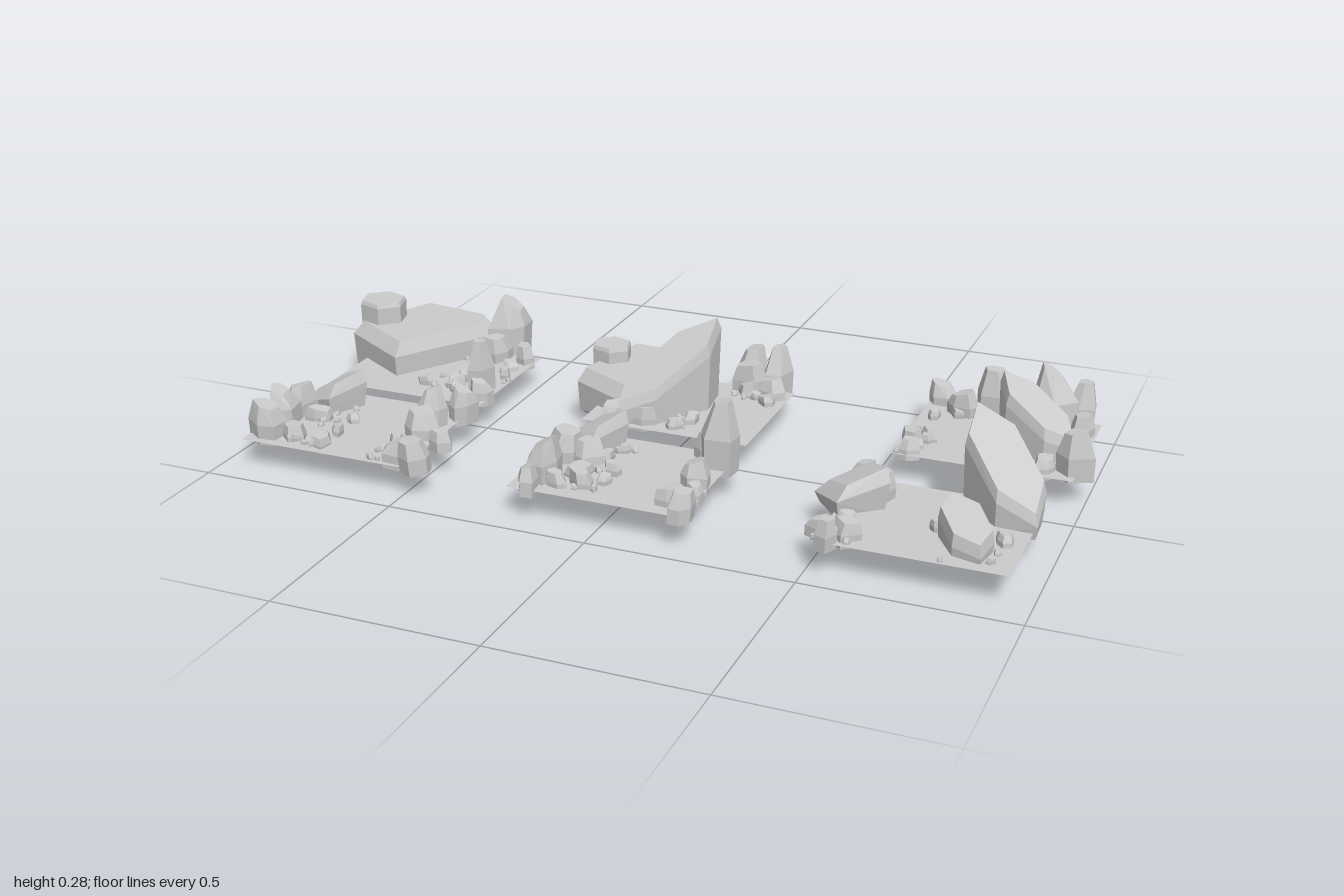
import * as THREE from 'three';
import { ConvexGeometry } from 'three/addons/geometries/ConvexGeometry.js';

const GROUND = 0.073;
const stone = new THREE.MeshStandardMaterial({ color: 0xcccccc, flatShading: true });
const groundMat = new THREE.MeshStandardMaterial({ color: 0xcccccc, side: THREE.DoubleSide });

let seed = 7;
const rand = (a, b) => {
  seed = (seed * 16807) % 2147483647;
  return a + (b - a) * (seed / 2147483647);
};

// Convex stone stacked from copies of an outline; each ring is [height(point), scale, shiftX, shiftZ]
function stack(name, outline, rings) {
  const centre = new THREE.Vector2();
  outline.forEach(p => centre.addScaledVector(p, 1 / outline.length));
  const corners = rings.flatMap(([height, scale, dx = 0, dz = 0]) => outline.map(p => {
    const q = p.clone().sub(centre).multiplyScalar(scale).add(centre);
    return new THREE.Vector3(q.x + dx, height(p), q.y + dz);
  }));
  const mesh = new THREE.Mesh(new ConvexGeometry(corners), stone);
  mesh.name = name;
  return mesh;
}

// Elliptic polygon on the ground, long axis turned by yaw
function polygon(x, z, rx, rz, yaw, sides) {
  const centre = new THREE.Vector2(x, z);
  return Array.from({ length: sides }, (_, i) => {
    const a = (i / sides) * Math.PI * 2;
    return new THREE.Vector2(x + rx * Math.cos(a), z + rz * Math.sin(a)).rotateAround(centre, yaw);
  });
}

// Chipped rock: uneven outline and a crown that is tilted and off centre
function rock(name, x, z, r, top = GROUND + r * 1.3) {
  const bottom = r > 0.024 ? 0.057 : GROUND - 0.003;
  const h = top - bottom;
  const crown = THREE.MathUtils.clamp(1.05 - 0.17 * h / r, 0.36, 0.75);
  const tilt = rand(-0.14, 0.14) * h;
  const dx = rand(-0.25, 0.25) * r, dz = rand(-0.25, 0.25) * r;
  const outline = polygon(x, z, r * 1.08, r * rand(0.75, 0.95), rand(0, 3), rand(0, 1) > 0.5 ? 6 : 5);
  outline.forEach(p => p.add(new THREE.Vector2(rand(-0.2, 0.2) * r, rand(-0.2, 0.2) * r)));
  return stack(name, outline, [
    [() => bottom, 0.97],
    [() => bottom + h * 0.5, 1, dx * 0.3, dz * 0.3],
    [p => top - Math.abs(tilt) + tilt * (p.x - x) / r, crown, dx, dz],
  ]);
}

// Four-sided boulder tipped up towards +x
function boulder(x, z, r, yaw) {
  const roof = p => 0.13 + 0.03 * (p.x - x) / r;
  return stack('boulder', polygon(x, z, r, r * 0.95, yaw, 4), [
    [() => 0.057, 0.85],
    [p => roof(p) - 0.02, 1],
    [p => roof(p) + 0.012, 0.75, r * 0.12, -r * 0.1],
  ]);
}

// Leaning crystal: steep at one end, its roof falling to the other along yaw
function crystal(x, z, rx, rz, yaw, high, low) {
  const roof = p => {
    const along = ((p.x - x) * Math.cos(yaw) + (p.y - z) * Math.sin(yaw)) / rx;
    return THREE.MathUtils.lerp(high, low, (along + 1) / 2);
  };
  return stack('crystal', polygon(x, z, rx, rz, yaw, 6), [
    [() => 0.058, 0.95],
    [p => roof(p) - 0.03, 1],
    [roof, 0.92],
  ]);
}

// Broad outcrop with an underside rising towards +x, and a stubby column on top
function outcrop(outline, top, bottom, [x, z, r, columnTop]) {
  const group = new THREE.Group();
  group.name = 'outcrop';
  const underside = p => bottom + Math.max(0, p.x - x) * 0.16;
  group.add(
    stack('slab', outline.map(p => new THREE.Vector2(...p)), [
      [underside, 0.75], [p => underside(p) + 0.025, 0.97], [() => top - 0.035, 1], [() => top, 0.86],
    ]),
    stack('column', polygon(x, z, r, r * 0.93, 0.3, 6), [
      [() => bottom + 0.015, 0.95], [() => columnTop - 0.01, 1], [() => columnTop, 0.93],
    ]));
  return group;
}

// Ground sheet with rocks [x, z, radius, top] and pebble strips [x0, x1, z0, z1, count]
function section(name, x, z, rocks, strips) {
  const group = new THREE.Group();
  group.name = name;
  const ground = new THREE.Mesh(new THREE.PlaneGeometry(0.435, 0.36), groundMat);
  ground.name = 'ground';
  ground.rotation.x = -Math.PI / 2;
  ground.position.set(x, GROUND, z);
  group.add(ground, ...rocks.map(r => rock('rock', ...r)));
  for (const [x0, x1, z0, z1, count] of strips)
    for (let i = 0; i < count; i++)
      group.add(rock('pebble', rand(x0, x1), rand(z0, z1), i % 4 ? rand(0.006, 0.012) : rand(0.016, 0.023)));
  return group;
}

export function createModel() {
  const model = new THREE.Group();
  model.name = 'rockyPathSections';

  // back row
  const backRight = section('backRightSection', -0.722, -0.147, [
    [-0.61, -0.345, 0.055, 0.24], [-0.665, -0.335, 0.034, 0.14], [-0.61, -0.28, 0.036, 0.14],
    [-0.535, -0.29, 0.032, 0.12], [-0.55, -0.075, 0.042, 0.21], [-0.52, -0.02, 0.03, 0.13], [-0.62, -0.06, 0.028],
  ], [[-0.7, -0.6, -0.26, -0.03, 15], [-0.56, -0.51, -0.25, -0.1, 6]]);
  backRight.add(outcrop(
    [[-0.885, -0.41], [-0.68, -0.38], [-0.63, -0.33], [-0.8, -0.065], [-0.995, -0.185]],
    0.16, 0, [-0.93, -0.24, 0.065, 0.215]));

  const backMiddle = section('backMiddleSection', -0.012, -0.167, [
    [0.07, -0.405, 0.046, 0.17], [0.085, -0.345, 0.046, 0.15], [0.155, -0.36, 0.04, 0.19],
    [0.165, -0.305, 0.038, 0.13], [0.1, -0.3, 0.03], [-0.15, 0, 0.04, 0.13], [-0.08, -0.03, 0.032, 0.12],
  ], [[-0.03, 0.03, -0.16, -0.02, 11], [0.01, 0.18, -0.29, -0.24, 7]]);
  backMiddle.add(
    outcrop([[-0.24, -0.36], [-0.15, -0.355], [-0.06, -0.26], [-0.13, -0.03], [-0.3, -0.12]],
      0.15, 0.012, [-0.25, -0.225, 0.054, 0.19]),
    crystal(-0.055, -0.13, 0.165, 0.075, 2.13, 0.285, 0.13));

  const backLeft = section('backLeftSection', 0.757, -0.26, [
    [0.575, -0.435, 0.036, 0.13], [0.64, -0.385, 0.038, 0.14], [0.705, -0.43, 0.046, 0.19],
    [0.79, -0.42, 0.034, 0.13], [0.865, -0.385, 0.055, 0.237], [0.92, -0.43, 0.04, 0.185],
    [0.94, -0.36, 0.032, 0.13], [0.57, -0.145, 0.034], [0.58, -0.1, 0.027], [0.6, -0.195, 0.025],
    [0.965, -0.145, 0.045, 0.18], [0.9, -0.12, 0.03],
  ], [[0.55, 0.76, -0.37, -0.32, 6], [0.55, 0.61, -0.25, -0.09, 7], [0.74, 0.79, -0.34, -0.1, 10]]);
  backLeft.add(crystal(0.855, -0.23, 0.11, 0.065, 0.35, 0.25, 0.13));

  // front row
  const frontRight = section('frontRightSection', -0.722, 0.257, [
    [-0.9, 0.235, 0.04, 0.15], [-0.9, 0.305, 0.042, 0.18], [-0.895, 0.375, 0.045, 0.16],
    [-0.83, 0.25, 0.032, 0.11], [-0.83, 0.375, 0.04, 0.11], [-0.75, 0.38, 0.036, 0.1],
    [-0.515, 0.11, 0.036, 0.16], [-0.555, 0.185, 0.038, 0.18], [-0.545, 0.25, 0.042, 0.14],
    [-0.48, 0.28, 0.028], [-0.535, 0.395, 0.038, 0.13], [-0.48, 0.405, 0.042, 0.14],
  ], [[-0.84, -0.74, 0.13, 0.42, 18], [-0.6, -0.51, 0.13, 0.42, 11]]);
  frontRight.add(boulder(-0.84, 0.16, 0.08, -0.3));

  const frontMiddle = section('frontMiddleSection', -0.007, 0.257, [
    [-0.17, 0.235, 0.046, 0.15], [-0.1, 0.24, 0.038, 0.13], [-0.17, 0.355, 0.048, 0.18],
    [-0.18, 0.42, 0.036, 0.13], [-0.1, 0.31, 0.042, 0.1], [-0.12, 0.385, 0.028], [-0.065, 0.365, 0.032],
    [0.185, 0.12, 0.052, 0.24], [0.14, 0.11, 0.028, 0.14], [0.175, 0.255, 0.038, 0.14],
    [0.2, 0.315, 0.026], [0.165, 0.38, 0.035], [0.2, 0.42, 0.035, 0.13],
  ], [[-0.11, -0.02, 0.13, 0.42, 16], [0.12, 0.2, 0.14, 0.42, 11]]);
  frontMiddle.add(boulder(-0.125, 0.155, 0.08, -0.3));

  const frontLeft = section('frontLeftSection', 0.732, 0.257, [
    [0.52, 0.09, 0.032, 0.12], [0.59, 0.17, 0.03, 0.14], [0.56, 0.33, 0.026], [0.51, 0.375, 0.028],
    [0.575, 0.385, 0.034, 0.12], [0.54, 0.425, 0.027, 0.13], [0.8, 0.24, 0.045, 0.13],
  ], [[0.51, 0.6, 0.3, 0.43, 9], [0.75, 0.8, 0.1, 0.43, 14], [0.87, 0.91, 0.26, 0.41, 4]]);
  frontLeft.add(
    boulder(0.535, 0.215, 0.092, 0.1),
    crystal(0.825, 0.325, 0.1, 0.055, 1, 0.155, 0.115),
    crystal(0.86, 0.125, 0.14, 0.075, 0.78, 0.285, 0.12));

  model.add(backRight, backMiddle, backLeft, frontRight, frontMiddle, frontLeft);
  return model;
}
